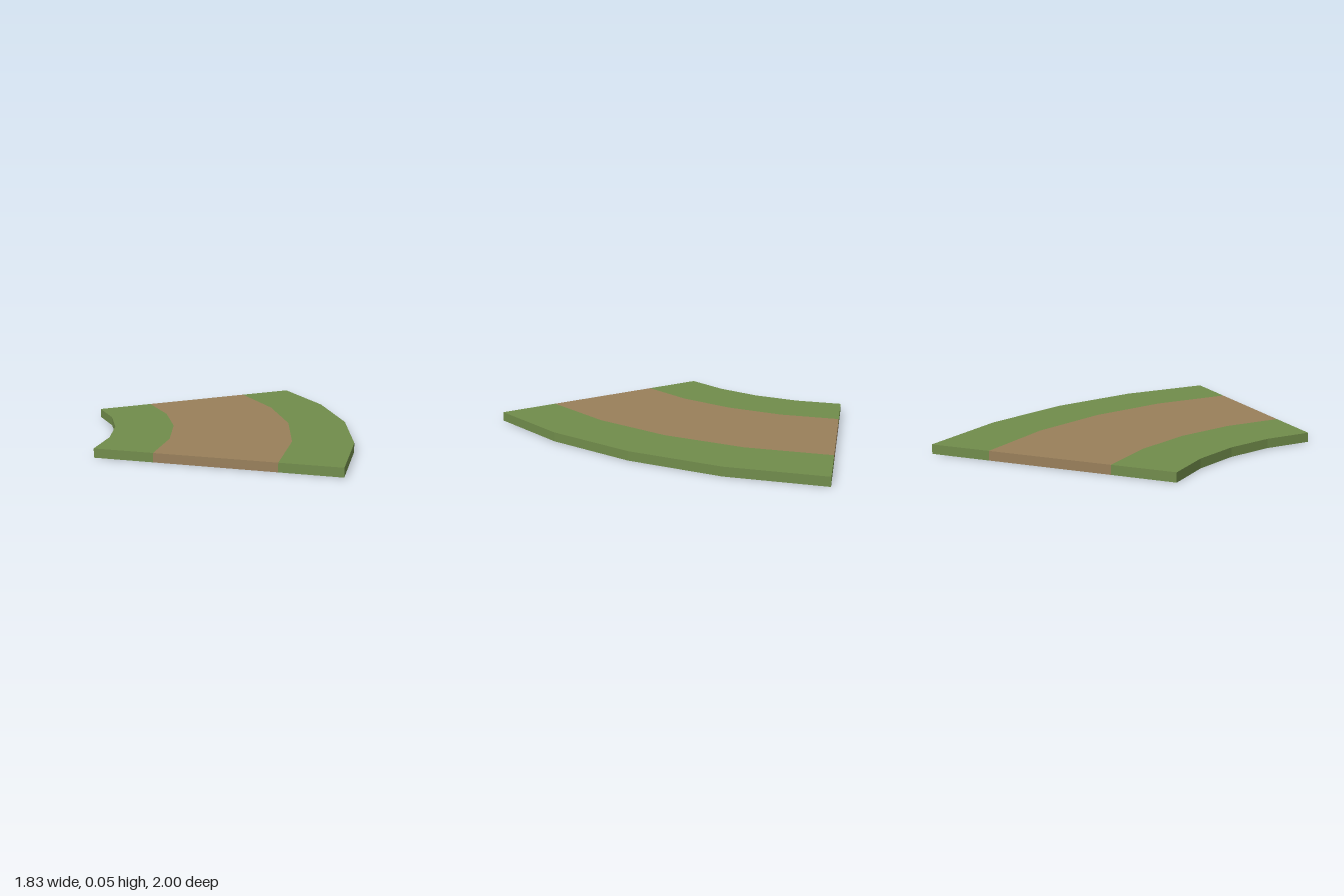
import * as THREE from 'three';

const HEIGHT = 0.053;
const SEGMENTS = 4;
const SWEEP = Math.PI / 4;
const INNER = Math.SQRT2;
const WIDTH = Math.SQRT2;
const CENTRE_X = -(1 + 2 * Math.SQRT2) / 2; // centre of the bend
const CENTRE_Z = -1;

// Point on the bend from radius, angle and height
const point = (r, a, y) => [CENTRE_X + r * Math.cos(a), y, CENTRE_Z + r * Math.sin(a)];

// Faceted curved strip, open underneath; side walls only where they are exposed
function curvedStrip(r0, r1, innerWall, outerWall) {
  const positions = [];
  const quad = (a, b, c, d) => positions.push(...a, ...b, ...c, ...a, ...c, ...d);
  const wall = (r, a0, a1) =>
    quad(point(r, a0, 0), point(r, a0, HEIGHT), point(r, a1, HEIGHT), point(r, a1, 0));
  const cap = (a, ra, rb) =>
    quad(point(ra, a, 0), point(ra, a, HEIGHT), point(rb, a, HEIGHT), point(rb, a, 0));

  for (let i = 0; i < SEGMENTS; i++) {
    const a0 = (SWEEP * i) / SEGMENTS;
    const a1 = (SWEEP * (i + 1)) / SEGMENTS;
    // top surface
    quad(point(r0, a0, HEIGHT), point(r0, a1, HEIGHT), point(r1, a1, HEIGHT), point(r1, a0, HEIGHT));
    if (outerWall) wall(r1, a0, a1);
    if (innerWall) wall(r0, a1, a0);
  }
  // cut ends
  cap(0, r0, r1);
  cap(SWEEP, r1, r0);

  const geometry = new THREE.BufferGeometry();
  geometry.setAttribute('position', new THREE.Float32BufferAttribute(positions, 3));
  geometry.computeVertexNormals();
  return geometry;
}

export function createModel() {
  const grass = new THREE.MeshStandardMaterial({ color: 0x718c4b, side: THREE.DoubleSide });
  grass.name = 'grass green';
  const dirt = new THREE.MeshStandardMaterial({ color: 0x997f5a, side: THREE.DoubleSide });
  dirt.name = 'dirt brown';

  const group = new THREE.Group();
  group.name = 'curvedPathTile';

  // Verge, path and verge, with the path taking the middle half
  const strips = [
    ['innerGrassVerge', 0, 0.25, grass],
    ['dirtPath', 0.25, 0.75, dirt],
    ['outerGrassVerge', 0.75, 1, grass],
  ];
  for (const [name, from, to, material] of strips) {
    const geometry = curvedStrip(INNER + WIDTH * from, INNER + WIDTH * to, from === 0, to === 1);
    const mesh = new THREE.Mesh(geometry, material);
    mesh.name = name;
    group.add(mesh);
  }
  return group;
}
